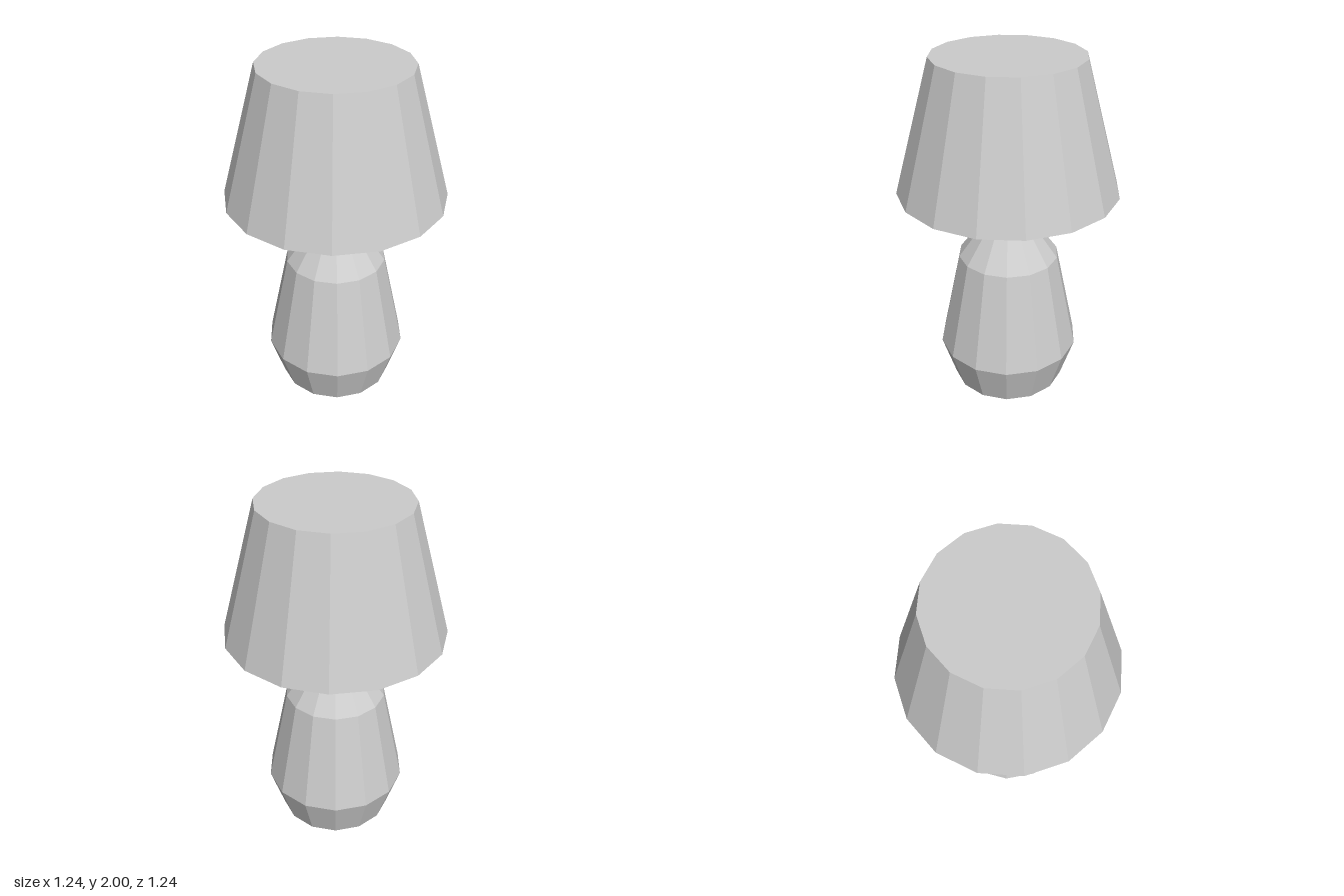
import * as THREE from 'three';

export function createModel() {
  const model = new THREE.Group();
  const gray = new THREE.MeshStandardMaterial({ color: 0xcccccc });
  gray.name = 'plainGray';

  // Closed faceted solid of revolution from [radius, y] pairs, bottom to top
  function turned(name, profile, sides, turn) {
    const points = [
      new THREE.Vector2(0, profile[0][1]),
      ...profile.map(([r, y]) => new THREE.Vector2(r, y)),
      new THREE.Vector2(0, profile[profile.length - 1][1]),
    ];
    const geometry = new THREE.LatheGeometry(points, sides, turn).toNonIndexed();
    geometry.computeVertexNormals(); // flat facets
    const mesh = new THREE.Mesh(geometry, gray);
    mesh.name = name;
    model.add(mesh);
  }

  // Vase-like body and thin stem are each turned by a quarter of a facet
  turned('lampBody', [[0.333, 0], [0.413, 0.253], [0.29, 0.835], [0.106, 1.085]], 14, Math.PI / 28);
  turned('stem', [[0.03, 1.07], [0.03, 1.27]], 6, Math.PI / 12);

  // Tapered shade, closed at both ends
  turned('lampShade', [[0.622, 1.253], [0.415, 2]], 16, 0);

  return model;
}
